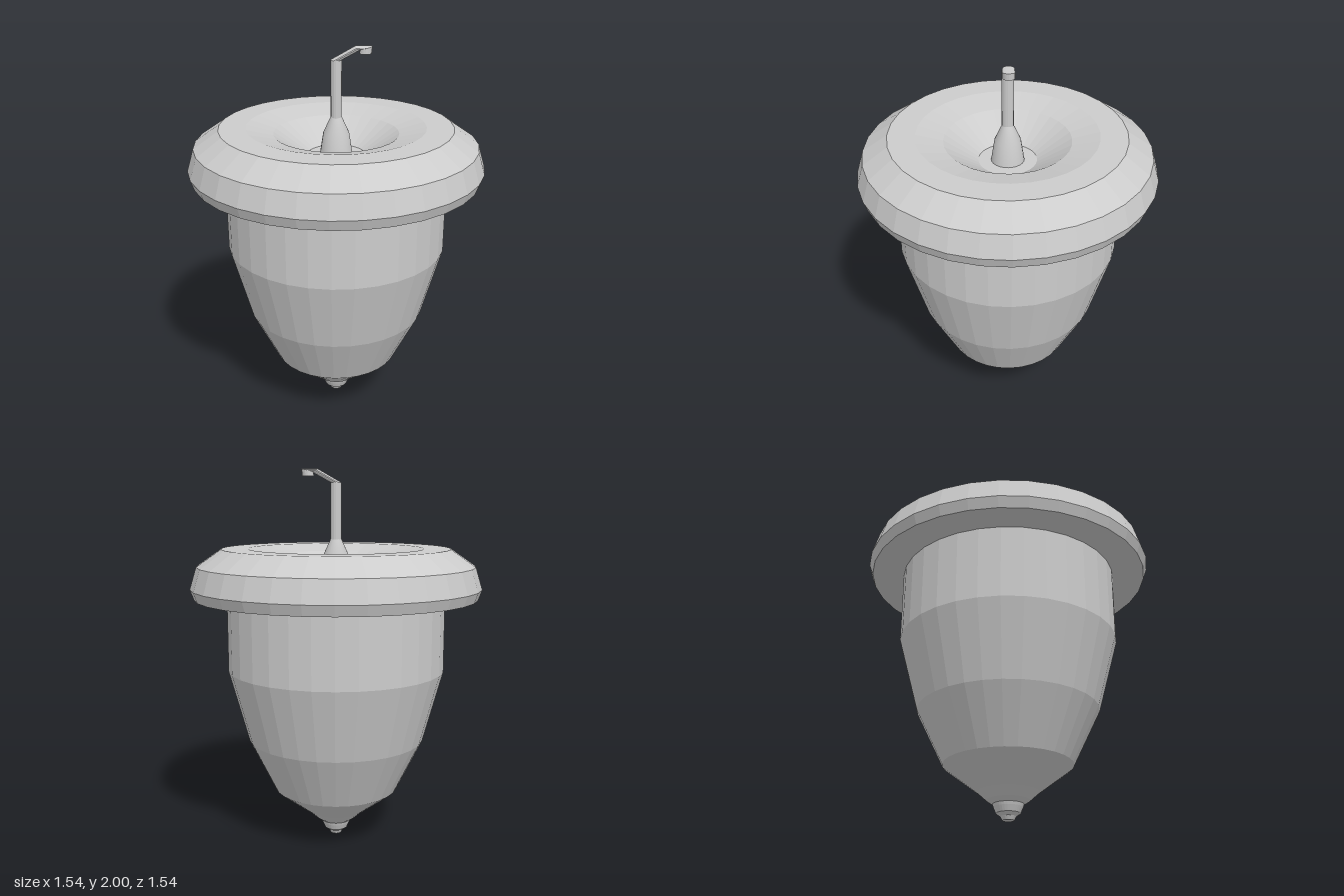
import * as THREE from 'three';

const SIDES = 32;

// Profile points are [radius, height], listed from the bottom outside to the top inside
function lathe(name, profile, sides, flatShading) {
  const points = profile.map(([r, y]) => new THREE.Vector2(r, y));
  const material = new THREE.MeshStandardMaterial({ color: 0xcccccc, flatShading, side: THREE.DoubleSide });
  const mesh = new THREE.Mesh(new THREE.LatheGeometry(points, sides), material);
  mesh.name = name;
  return mesh;
}

// Pipe swept through mitred rings; each ring is [outerX, outerY, innerX, innerY]
function spout(rings, halfDepth, sides) {
  const positions = [];
  const point = ([ox, oy, ix, iy], j) => {
    const a = (j / sides) * Math.PI * 2;
    const c = Math.cos(a) / 2;
    return [(ox + ix) / 2 + (ix - ox) * c, (oy + iy) / 2 + (iy - oy) * c, -Math.sin(a) * halfDepth];
  };
  for (let i = 0; i < rings.length - 1; i++) {
    for (let j = 0; j < sides; j++) {
      const a = point(rings[i], j), b = point(rings[i], j + 1);
      const c = point(rings[i + 1], j + 1), d = point(rings[i + 1], j);
      positions.push(...a, ...b, ...c, ...a, ...c, ...d);
    }
  }
  // End cap
  const last = rings[rings.length - 1];
  const centre = [(last[0] + last[2]) / 2, (last[1] + last[3]) / 2, 0];
  for (let j = 0; j < sides; j++) positions.push(...centre, ...point(last, j), ...point(last, j + 1));

  const geometry = new THREE.BufferGeometry();
  geometry.setAttribute('position', new THREE.Float32BufferAttribute(positions, 3));
  geometry.computeVertexNormals();
  const mesh = new THREE.Mesh(geometry, new THREE.MeshStandardMaterial({
    color: 0xcccccc, flatShading: true, side: THREE.DoubleSide,
  }));
  mesh.name = 'spout';
  return mesh;
}

export function createModel() {
  const model = new THREE.Group();
  model.name = 'acornFountain';

  // Pointed tip with small stepped rings
  model.add(lathe('tip', [
    [0, 0], [0.03, 0], [0.04, 0.02], [0.062, 0.035], [0.075, 0.065],
    [0.08, 0.08], [0.11, 0.1], [0.155, 0.14],
  ], SIDES, true));

  // Tapered nut-shaped body
  model.add(lathe('body', [
    [0.155, 0.14], [0.335, 0.275], [0.475, 0.56], [0.58, 0.945], [0.58, 1.33],
  ], SIDES, true));

  // Overhanging cap
  model.add(lathe('cap', [
    [0.58, 1.33], [0.75, 1.33], [0.77, 1.385], [0.735, 1.5], [0.605, 1.59], [0.465, 1.59],
  ], SIDES, true));

  // Sunken basin in the top of the cap
  model.add(lathe('basin', [[0.465, 1.59], [0.325, 1.555], [0.15, 1.44], [0, 1.44]], SIDES, true));

  // Flared foot of the pipe
  model.add(lathe('pipeFoot', [[0.085, 1.44], [0.067, 1.555], [0.028, 1.64]], 24, false));

  // Upright pipe, slanted arm and down-turned nozzle
  model.add(spout([
    [-0.028, 1.63, 0.028, 1.63],
    [-0.028, 1.93, 0.028, 1.93],
    [0.095, 2.0, 0.115, 1.978],
    [0.18, 2.0, 0.118, 1.985],
    [0.176, 1.963, 0.115, 1.963],
  ], 0.03, 16));

  return model;
}
